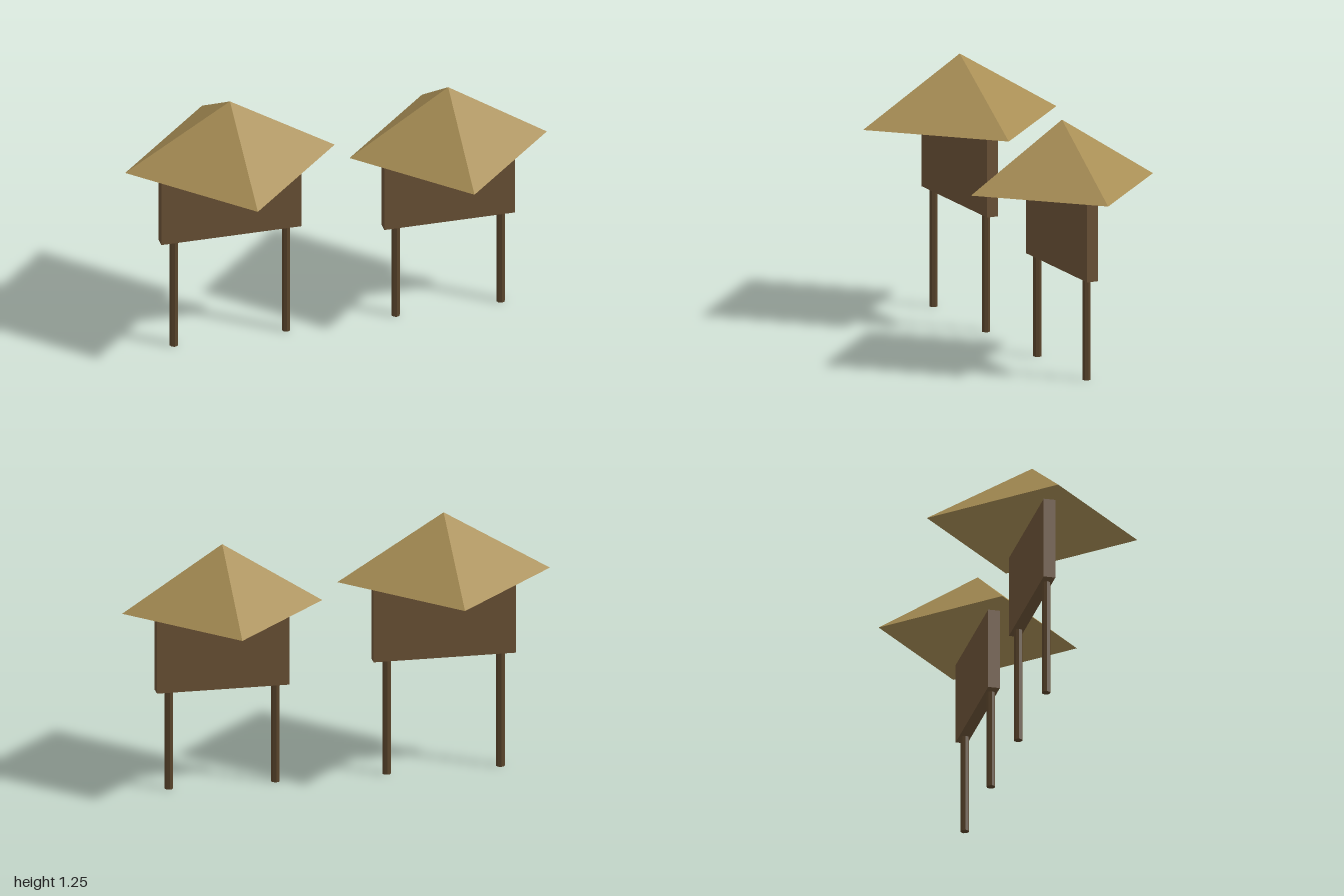
import * as THREE from 'three';

const material = (name, color) => {
  const m = new THREE.MeshStandardMaterial({ color, flatShading: true });
  m.name = name;
  return m;
};

export function createModel() {
  const thatch = material('straw roof', 0xa88e55);
  const plank = material('brown board', 0x6b5236);
  const timber = material('dark post', 0x5a452c);

  const model = new THREE.Group();
  model.name = 'roofedSigns';

  const add = (parent, name, geometry, mat, x, y) => {
    const mesh = new THREE.Mesh(geometry, mat);
    mesh.name = name;
    mesh.position.set(x, y, 0);
    parent.add(mesh);
  };

  // One sign: two posts, a board between them and a four-sided roof
  const addSign = (name, x, { boardY, roofY, peakY, boardWidth, postX, roofRadius }) => {
    const sign = new THREE.Group();
    sign.name = name;
    sign.position.x = x;

    for (const [side, sx] of [['right', -1], ['left', 1]]) {
      add(sign, `${side}Post`, new THREE.CylinderGeometry(0.02, 0.02, boardY, 8),
        timber, sx * postX, boardY / 2);
    }
    // The board ends just inside the roof
    const boardHeight = roofY - boardY + 0.005;
    add(sign, 'board', new THREE.BoxGeometry(boardWidth, boardHeight, 0.055),
      plank, 0, boardY + boardHeight / 2);
    // Corners point along x and z
    add(sign, 'roof', new THREE.ConeGeometry(roofRadius, peakY - roofY, 4),
      thatch, 0, (roofY + peakY) / 2);
    model.add(sign);
  };

  addSign('tallSign', -0.503, {
    boardY: 0.555, roofY: 0.948, peakY: 1.253, boardWidth: 0.665, postX: 0.266, roofRadius: 0.497,
  });
  addSign('shortSign', 0.532, {
    boardY: 0.475, roofY: 0.866, peakY: 1.172, boardWidth: 0.62, postX: 0.249, roofRadius: 0.468,
  });
  return model;
}
